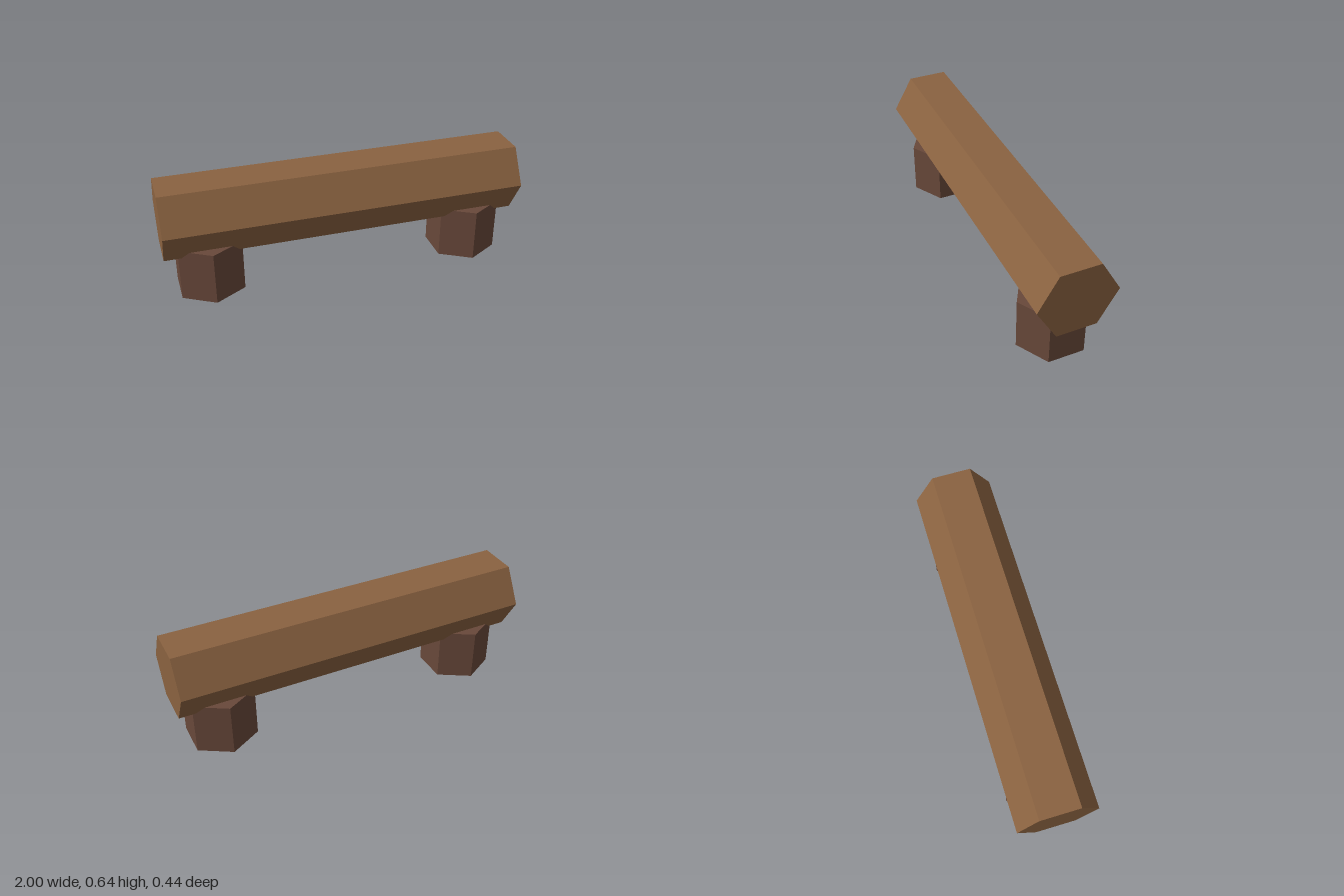
import * as THREE from 'three';

const logWood = new THREE.MeshStandardMaterial({ name: 'logWood', color: 0x8a6240, flatShading: true });
const darkWood = new THREE.MeshStandardMaterial({ name: 'darkWood', color: 0x68483a, flatShading: true });

// Six-sided prism with corners pointing along z
function hexPrism(name, radius, length, material) {
  const mesh = new THREE.Mesh(new THREE.CylinderGeometry(radius, radius, length, 6), material);
  mesh.name = name;
  return mesh;
}

export function createModel() {
  const bench = new THREE.Group();
  bench.name = 'logBench';

  // Seat log lying along x
  const seat = hexPrism('seatLog', 0.22, 2, logWood);
  seat.rotation.z = Math.PI / 2;
  seat.position.y = 0.45;
  bench.add(seat);

  // Stump supports near each end
  for (const side of [-1, 1]) {
    const stump = hexPrism(side > 0 ? 'leftStump' : 'rightStump', 0.2, 0.3, darkWood);
    stump.position.set(side * 0.75, 0.15, 0);
    bench.add(stump);
  }
  return bench;
}
